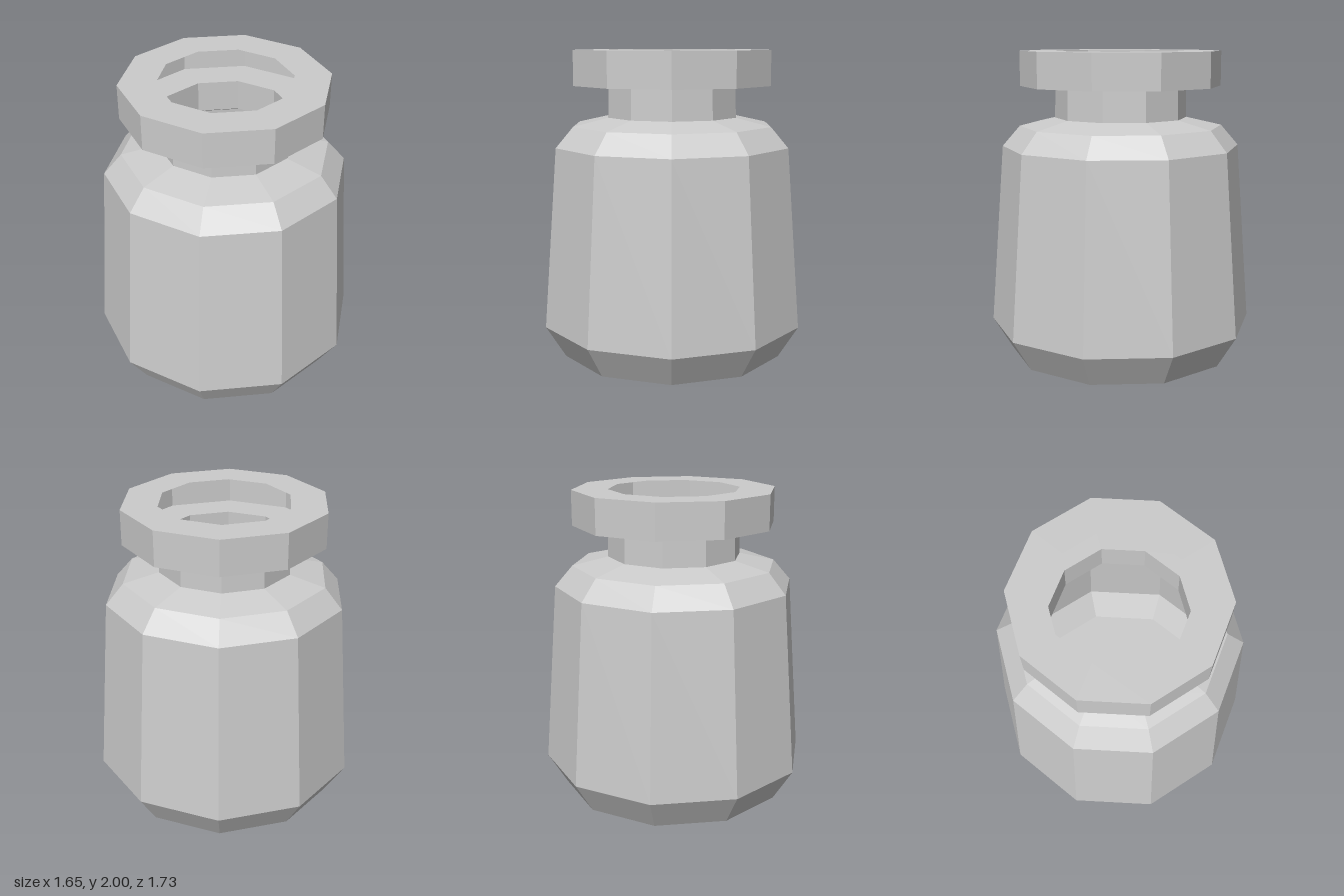
import * as THREE from 'three';

const SIDES = 10;

export function createModel() {
  const model = new THREE.Group();
  model.name = 'jar';
  const material = new THREE.MeshStandardMaterial({
    color: 0xcccccc, flatShading: true, side: THREE.DoubleSide,
  });

  const add = (name, geometry) => {
    const mesh = new THREE.Mesh(geometry, material);
    mesh.name = name;
    model.add(mesh);
  };
  // Faceted shell from a [radius, height] profile, one corner facing +z
  const shell = (profile) =>
    new THREE.LatheGeometry(profile.map(([r, y]) => new THREE.Vector2(r, y)), SIDES);

  // Closed bottom
  add('base', new THREE.CircleGeometry(0.737, SIDES, Math.PI / 2).rotateX(Math.PI / 2));

  // Chamfered foot, tapering wall and shoulder
  add('body', shell([[0.737, 0], [0.867, 0.21], [0.776, 1.385], [0.662, 1.517], [0.431, 1.57]]));

  // Thin open neck
  add('neck', shell([[0.431, 1.57], [0.426, 1.775]]));

  // Hollow rim: underside, outer wall and top ring, open towards the mouth
  add('rim', shell([[0.426, 1.775], [0.655, 1.775], [0.655, 2], [0.424, 2]]));

  return model;
}
